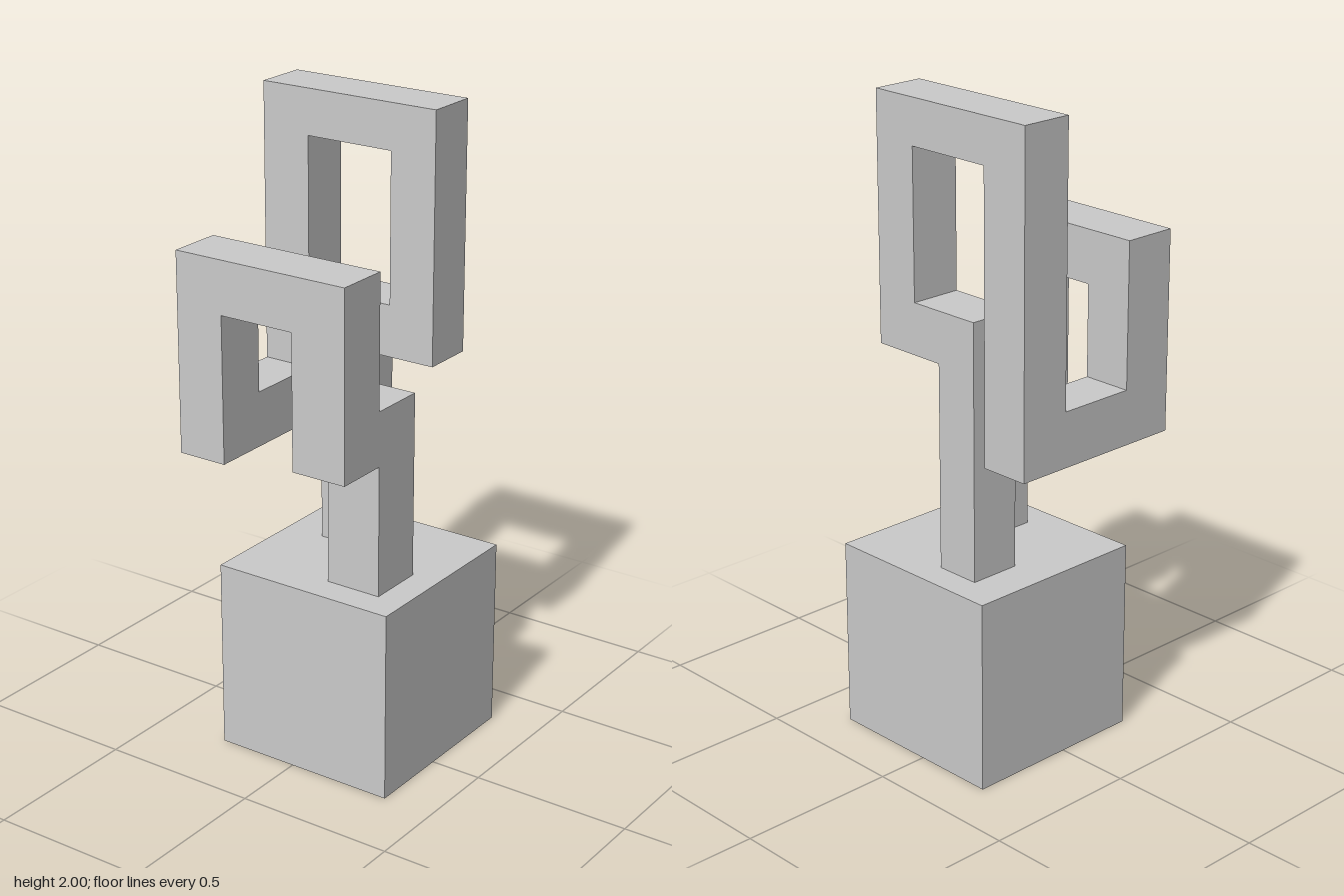
import * as THREE from 'three';

const material = new THREE.MeshStandardMaterial({ color: 0xcccccc, flatShading: true });

// Box given by its minimum and maximum corners
function box(name, [x0, y0, z0], [x1, y1, z1]) {
  const geometry = new THREE.BoxGeometry(x1 - x0, y1 - y0, z1 - z0);
  geometry.translate((x0 + x1) / 2, (y0 + y1) / 2, (z0 + z1) / 2);
  const mesh = new THREE.Mesh(geometry, material);
  mesh.name = name;
  return mesh;
}

// Side profile of (z, y) points, extruded from x0 to x1
function sideProfile(name, points, x0, x1) {
  const shape = new THREE.Shape(points.map(([z, y]) => new THREE.Vector2(z, y)));
  const geometry = new THREE.ExtrudeGeometry(shape, { depth: x1 - x0, bevelEnabled: false });
  geometry.rotateY(-Math.PI / 2);
  geometry.translate(x1, 0, 0);
  const mesh = new THREE.Mesh(geometry, material);
  mesh.name = name;
  return mesh;
}

export function createModel() {
  const group = new THREE.Group();
  group.name = 'knotSculpture';

  const back = -0.338, backInner = -0.179;
  const frontInner = 0.067, front = 0.247;

  // Cube pedestal
  group.add(box('pedestal', [-0.262, 0, -0.262], [0.338, 0.6, 0.338]));

  // Tall hooked loop, rising from its own leg and descending at the back
  group.add(sideProfile('tallLoop', [
    [-0.135, 0.6], [0.01, 0.6], [0.01, 1.24], [0.26, 1.24], [0.26, 2], [back, 2],
    [back, 0.973], [backInner, 0.973], [backInner, 1.86], [0.11, 1.86],
    [0.11, 1.4], [-0.135, 1.4],
  ], 0.082, 0.247));

  // Low beam joining both loops at the back
  group.add(box('backBeam', [-0.168, 0.973, back], [0.082, 1.145, backInner]));

  // Shorter arch running from back to front
  group.add(sideProfile('shortArch', [
    [back, 0.973], [backInner, 0.973], [backInner, 1.43], [frontInner, 1.43],
    [frontInner, 1.01], [front, 1.01], [front, 1.595], [back, 1.595],
  ], -0.34, -0.168));

  // Front leg carrying the end of the arch
  group.add(box('frontLeg', [-0.168, 0.6, frontInner], [0.013, 1.18, front]));

  return group;
}
